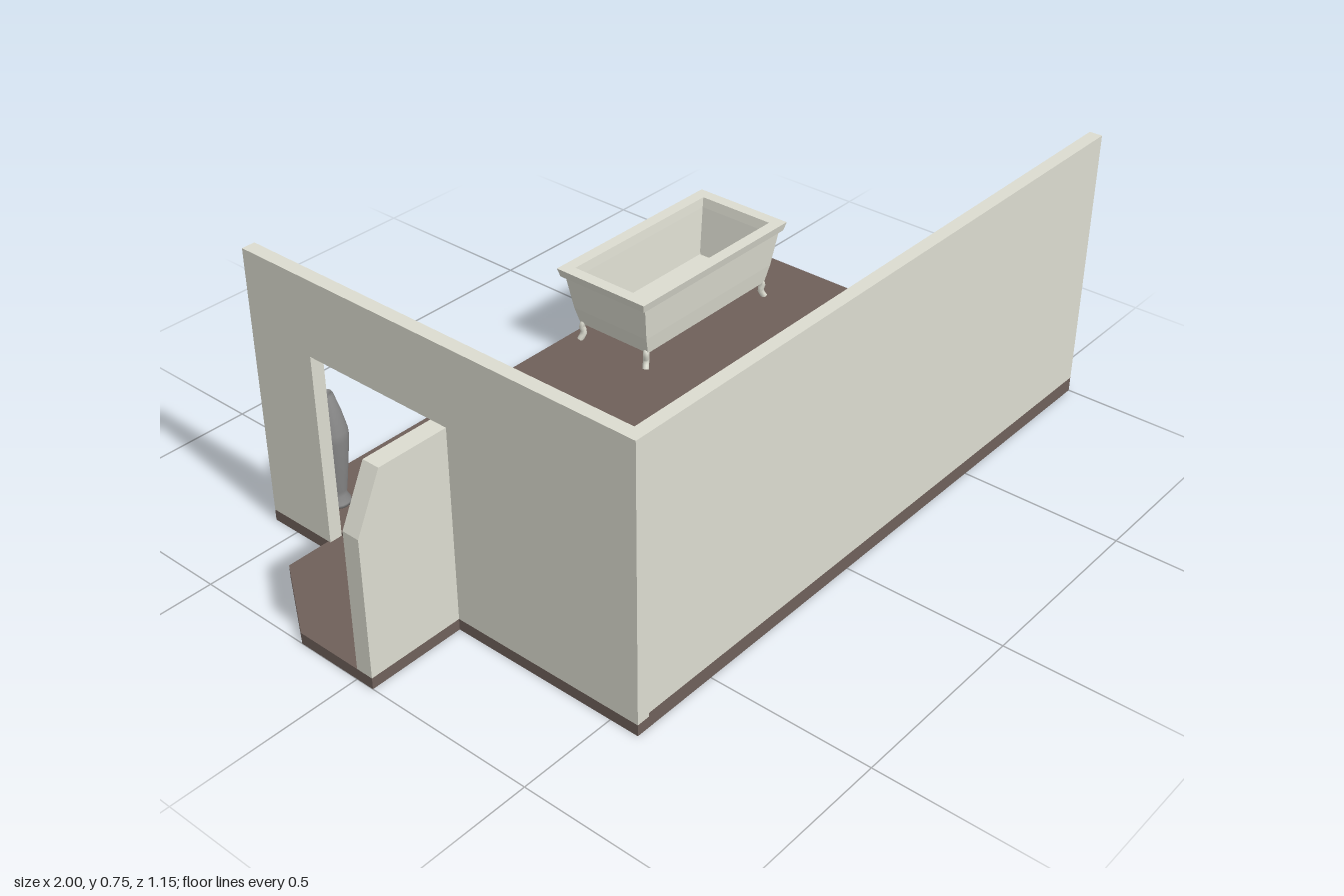
import * as THREE from 'three';

const mat = (color, double) => new THREE.MeshStandardMaterial({ color, side: double ? THREE.DoubleSide : THREE.FrontSide });
const cream = mat(0xdcdcd0), brown = mat(0x6f605a), green = mat(0x66bd9c, true), grey = mat(0x999999), vaseGrey = mat(0x888888, true);
const FLOOR = 0.04, TABLE = 0.17;

function add(parent, name, geometry, material) {
  const mesh = new THREE.Mesh(geometry, material);
  mesh.name = name;
  parent.add(mesh);
  return mesh;
}

function group(parent, name) {
  const g = new THREE.Group();
  g.name = name;
  parent.add(g);
  return g;
}

// Box given by its min and max on each axis
function box(parent, name, material, x0, x1, y0, y1, z0, z1) {
  const mesh = add(parent, name, new THREE.BoxGeometry(x1 - x0, y1 - y0, z1 - z0), material);
  mesh.position.set((x0 + x1) / 2, (y0 + y1) / 2, (z0 + z1) / 2);
  return mesh;
}

const shape = (points) => new THREE.Shape(points.map(([x, y]) => new THREE.Vector2(x, y)));
const extrude = (points, depth) => new THREE.ExtrudeGeometry(shape(points), { depth, bevelEnabled: false });
const lathe = (points, sides) => new THREE.LatheGeometry(points.map(([r, y]) => new THREE.Vector2(r, y)), sides);

// Rectangular rings [halfX, y, halfZ] joined into a flat-sided skin, capped at both ends
function rectLoft(rings) {
  const corners = rings.map(([hx, y, hz]) => [[hx, y, hz], [hx, y, -hz], [-hx, y, -hz], [-hx, y, hz]]);
  const pos = [];
  const quad = (a, b, c, d) => pos.push(...a, ...b, ...c, ...a, ...c, ...d);
  for (let i = 0; i + 1 < corners.length; i++) {
    for (let k = 0; k < 4; k++) {
      const n = (k + 1) % 4;
      quad(corners[i][k], corners[i][n], corners[i + 1][n], corners[i + 1][k]);
    }
  }
  const first = corners[0], last = corners[corners.length - 1];
  quad(first[3], first[2], first[1], first[0]);
  quad(last[0], last[1], last[2], last[3]);
  const g = new THREE.BufferGeometry();
  g.setAttribute('position', new THREE.Float32BufferAttribute(pos, 3));
  g.computeVertexNormals();
  return g;
}

function buildRoom(root) {
  const room = group(root, 'room');
  box(room, 'floor', brown, -0.705, 1, 0, FLOOR, -0.577, 0.577);
  box(room, 'frontWall', cream, -0.705, 1, FLOOR, 0.745, 0.543, 0.577);

  // Side wall with the doorway; the shape's x axis becomes -z
  const side = add(room, 'doorWall', extrude([
    [-0.577, 0.03], [-0.015, 0.03], [-0.015, 0.543], [0.378, 0.543],
    [0.378, 0.03], [0.577, 0.03], [0.577, 0.745], [-0.577, 0.745]], 0.035), cream);
  side.rotation.y = Math.PI / 2;
  side.position.x = -0.74;
  box(room, 'doorWallBase', brown, -0.74, -0.705, 0, 0.03, -0.577, 0.577);

  // Small porch outside the doorway
  const porch = add(room, 'porchFloor', extrude([
    [-1, -0.05], [-0.74, -0.05], [-0.74, 0.385], [-0.86, 0.385], [-1, 0.18]], 0.03), brown);
  porch.rotation.x = -Math.PI / 2;
  const porchWall = add(room, 'porchWall', extrude([
    [-1, 0.03], [-0.74, 0.03], [-0.74, 0.543], [-0.93, 0.543], [-1, 0.4]], 0.047), cream);
  porchWall.position.z = 0.003;
}

function buildWindow(root) {
  const win = group(root, 'window');
  const [x0, x1, y0, y1, z0, z1] = [0.325, 0.775, 0.33, 0.64, 0.524, 0.544];
  const w = 0.022, xm = (x0 + x1) / 2, ym = (y0 + y1) / 2;
  box(win, 'windowPane', brown, x0 + w, x1 - w, y0 + w, y1 - w, 0.537, z1);
  for (const x of [x0, x1 - w, xm - w / 2]) box(win, 'windowPost', brown, x, x + w, y0, y1, z0, z1);
  for (const y of [y0, y1 - w, ym - w / 2]) {
    box(win, 'windowRail', brown, x0 + w, xm - w / 2, y, y + w, z0, z1);
    box(win, 'windowRail', brown, xm + w / 2, x1 - w, y, y + w, z0, z1);
  }
}

function buildTable(root) {
  const table = group(root, 'table');
  box(table, 'tableTop', brown, -0.665, 0.045, 0.15, TABLE, 0.23, 0.543);
  for (const x of [-0.64, 0.02]) {
    for (const z of [0.252, 0.525]) {
      const leg = add(table, 'tableLeg', rectLoft([
        [0.016, FLOOR, 0.016], [0.013, 0.075, 0.013], [0.018, 0.15, 0.018]]), brown);
      leg.position.set(x, 0, z);
    }
  }
  box(table, 'cabinet', grey, -0.635, -0.27, TABLE, 0.425, 0.258, 0.502);
}

// Vase with a flared foot, widest above the middle
function buildVase(root, x, y, z, height, radius) {
  const profile = [[0, 0], [0.78, 0], [0.78, 0.025], [0.55, 0.085], [0.62, 0.13], [0.82, 0.36],
    [1, 0.6], [0.97, 0.67], [0.68, 0.84], [0.36, 0.98], [0.28, 1], [0.2, 0.97], [0, 0.9]];
  const vase = add(root, 'vase', lathe(profile.map(([r, h]) => [r * radius, h * height]), 20), vaseGrey);
  vase.position.set(x, y, z);
}

function buildBathtub(root) {
  const tub = group(root, 'bathtub');
  tub.position.set(0.557, 0, -0.421);
  // Outer skin, overhanging rim and hollow inside in one profile
  add(tub, 'tubShell', rectLoft([
    [0.235, 0.078, 0.11], [0.25, 0.088, 0.121], [0.265, 0.14, 0.129], [0.284, 0.243, 0.141],
    [0.296, 0.243, 0.147], [0.303, 0.268, 0.153], [0.268, 0.268, 0.118],
    [0.262, 0.24, 0.115], [0.24, 0.1, 0.105]]), cream);
  for (const sx of [-1, 1]) {
    for (const sz of [-1, 1]) {
      const path = new THREE.CatmullRomCurve3([[0.225, 0.105, 0.1], [0.25, 0.085, 0.115], [0.247, 0.06, 0.112], [0.256, 0.04, 0.118]]
        .map(([x, y, z]) => new THREE.Vector3(sx * x, y, sz * z)));
      add(tub, 'tubLeg', new THREE.TubeGeometry(path, 8, 0.009, 8), cream);
    }
  }
}

function buildPlant(root) {
  const plant = group(root, 'pottedFlower');
  plant.position.set(0.825, 0, 0.353);
  add(plant, 'pot', lathe([[0, FLOOR], [0.054, FLOOR], [0.067, 0.15], [0.08, 0.152], [0.082, 0.17],
    [0.066, 0.17], [0.063, 0.15], [0, 0.15]], 24), green).material = mat(0x66bd9c, true);
  add(plant, 'stem', lathe([[0.024, 0.15], [0.016, 0.18], [0.011, 0.22], [0.009, 0.3], [0.011, 0.4]], 10), green);

  // Flower head tilted back, facing -z and slightly up
  const flower = group(plant, 'flowerHead');
  flower.position.set(0, 0.405, -0.012);
  flower.rotation.set(0.25, Math.PI, 0);
  const centre = add(flower, 'flowerCentre', new THREE.SphereGeometry(0.022, 12, 8), green);
  centre.scale.z = 0.6;
  const petal = new THREE.SphereGeometry(1, 10, 8);
  for (let i = 0; i < 9; i++) {
    const arm = group(flower, 'petalArm');
    arm.rotation.z = (i / 9) * Math.PI * 2;
    const leaf = add(arm, 'petal', petal, green);
    leaf.scale.set(0.014, 0.029, 0.006);
    leaf.position.set(0, 0.045, 0.007);
    leaf.rotation.x = 0.3;
  }
}

export function createModel() {
  const root = new THREE.Group();
  root.name = 'bathroom';
  buildRoom(root);
  buildWindow(root);
  buildTable(root);
  buildVase(root, -0.2, TABLE, 0.487, 0.265, 0.037);
  buildVase(root, -0.12, TABLE, 0.385, 0.215, 0.028);
  buildVase(root, -0.045, TABLE, 0.43, 0.197, 0.027);
  buildVase(root, -0.628, FLOOR, -0.477, 0.314, 0.042);
  buildBathtub(root);
  buildPlant(root);
  return root;
}
